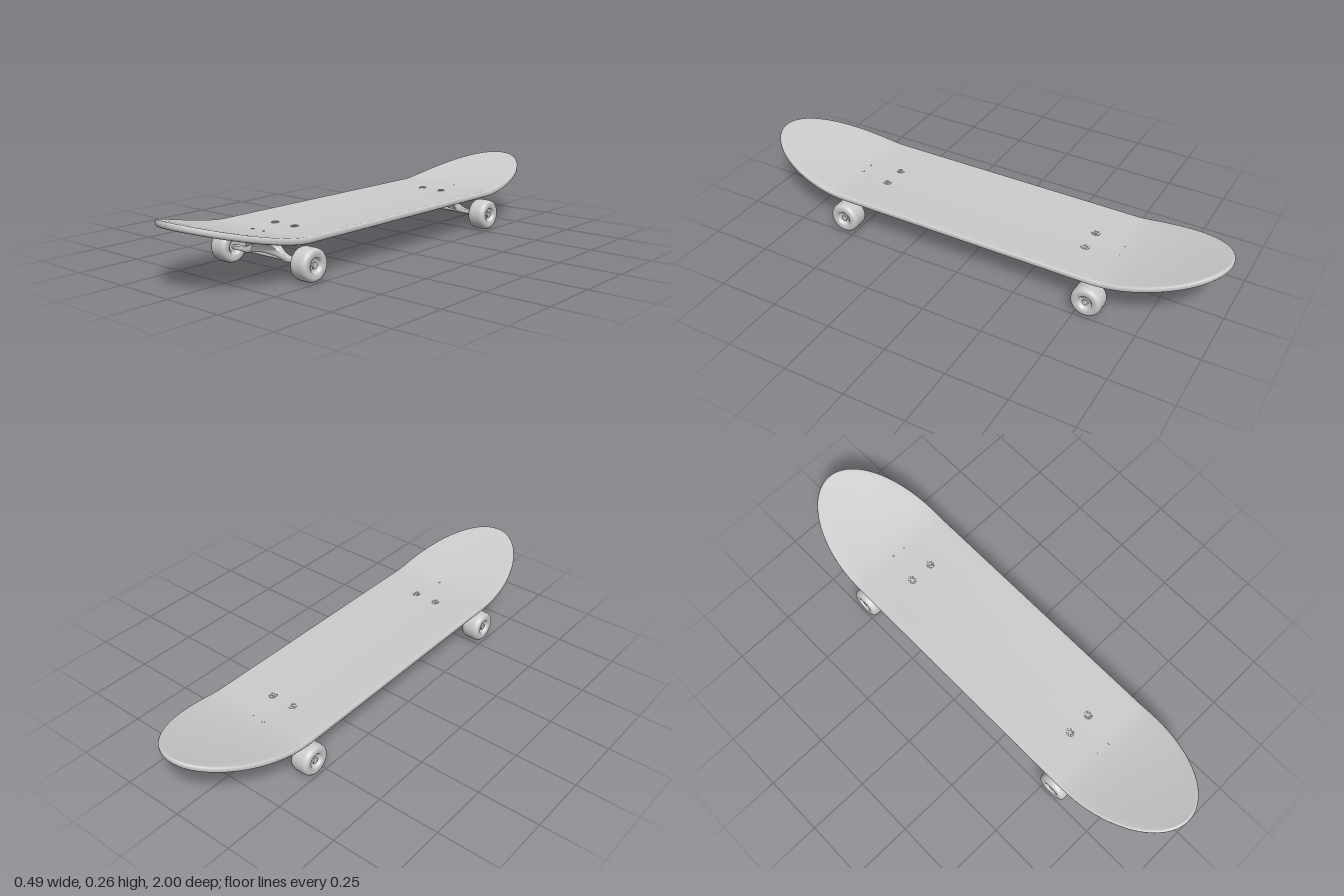
import * as THREE from 'three';
import { toCreasedNormals } from 'three/addons/utils/BufferGeometryUtils.js';

const material = new THREE.MeshStandardMaterial({ color: 0xcccccc });
const HALF_WIDTH = 0.23, THICKNESS = 0.025, AXLE_Y = 0.0625;

function add(parent, name, geometry, x = 0, y = 0, z = 0) {
  const mesh = new THREE.Mesh(geometry, material);
  mesh.name = name;
  mesh.position.set(x, y, z);
  parent.add(mesh);
  return mesh;
}

// Underside height of the deck: flat middle, upswept ends, slight concave
function deckBottom(x, z) {
  const t = Math.max(0, (Math.abs(z) - 0.56) / 0.44);
  return 0.134 + 0.104 * Math.pow(t, 1.4) + 0.007 * (x / HALF_WIDTH) ** 2;
}

function deckGeometry() {
  // Stations along z, packed towards the rounded ends
  const stations = [];
  const N = 26;
  for (let i = 0; i <= N; i++) stations.push(0.6 + 0.4 * Math.sin((i / N) * Math.PI / 2));
  const zs = [...stations.slice().reverse().map((z) => -z), -0.56, -0.3, 0, 0.3, 0.56, ...stations];

  // Cross-section: [side -1..1, inset, height 0..1], counter-clockwise from +z
  const ring = [];
  const edge = [[0.009, 1], [0.003, 0.9], [0, 0.7], [0, 0.3], [0.003, 0.1], [0.009, 0]];
  const M = 12;
  for (let j = 1; j < M; j++) ring.push([1 - 2 * j / M, 0.009, 1]);
  for (const [d, h] of edge) ring.push([-1, d, h]);
  for (let j = 1; j < M; j++) ring.push([-1 + 2 * j / M, 0.009, 0]);
  for (const [d, h] of edge.slice().reverse()) ring.push([1, d, h]);

  const positions = [], index = [], R = ring.length;
  zs.forEach((z0, i) => {
    const e = Math.max(0, (Math.abs(z0) - 0.6) / 0.4);
    const w = HALF_WIDTH * Math.sqrt(Math.max(0, 1 - e * e));
    ring.forEach(([s, inset, h], j) => {
      const x = s * w * (1 - inset / HALF_WIDTH), z = z0 * (1 - inset);
      positions.push(x, deckBottom(x, z) + h * THICKNESS, z);
      if (i < zs.length - 1) {
        const k = (j + 1) % R, a = i * R + j, b = i * R + k;
        index.push(a, b, b + R, a, b + R, a + R);
      }
    });
  });
  const g = new THREE.BufferGeometry();
  g.setAttribute('position', new THREE.Float32BufferAttribute(positions, 3));
  g.setIndex(index);
  g.computeVertexNormals();
  return g;
}

// Wheel with rounded shoulders and a recessed hub, turned about x
function wheelGeometry() {
  const half = [[0.012, 0.022], [0.022, 0.022], [0.026, 0.026], [0.029, 0.035], [0.034, 0.038],
    [0.047, 0.039], [0.054, 0.037], [0.059, 0.032], [0.0615, 0.025], [0.0625, 0.016]];
  const points = [...half.map(([r, y]) => [r, -y]), ...half.slice().reverse()]
    .map(([r, y]) => new THREE.Vector2(r, y));
  return new THREE.LatheGeometry(points, 40).rotateZ(-Math.PI / 2);
}

// Arched hanger: front outline, made deeper as it rises to the deck
function hangerGeometry() {
  const s = new THREE.Shape();
  s.moveTo(0.17, 0.071);
  s.lineTo(0.125, 0.073);
  s.bezierCurveTo(0.1, 0.074, 0.085, 0.085, 0.068, 0.095);
  s.bezierCurveTo(0.05, 0.106, 0.044, 0.12, 0.062, 0.131);
  s.lineTo(0.066, 0.138);
  s.lineTo(-0.066, 0.138);
  s.lineTo(-0.062, 0.131);
  s.bezierCurveTo(-0.044, 0.12, -0.05, 0.106, -0.068, 0.095);
  s.bezierCurveTo(-0.085, 0.085, -0.1, 0.074, -0.125, 0.073);
  s.lineTo(-0.17, 0.071);
  s.lineTo(-0.17, 0.055);
  s.lineTo(-0.1, 0.053);
  s.bezierCurveTo(-0.07, 0.058, -0.07, 0.069, 0, 0.069);
  s.bezierCurveTo(0.07, 0.069, 0.07, 0.058, 0.1, 0.053);
  s.lineTo(0.17, 0.055);
  const g = new THREE.ExtrudeGeometry(s, {
    depth: 0.012, bevelEnabled: true, bevelThickness: 0.007, bevelSize: 0.006,
    bevelOffset: -0.006, bevelSegments: 4, curveSegments: 10,
  });
  g.translate(0, 0, -0.006);
  const p = g.attributes.position;
  for (let i = 0; i < p.count; i++) {
    const t = THREE.MathUtils.clamp((p.getY(i) - 0.08) / 0.056, 0, 1);
    p.setZ(i, p.getZ(i) * (1 + 4.2 * t * t));
  }
  return toCreasedNormals(g, 0.7);
}

function createTruck(name) {
  const truck = new THREE.Group();
  truck.name = name;
  add(truck, 'hanger', hangerGeometry());
  add(truck, 'axle', new THREE.CylinderGeometry(0.008, 0.008, 0.462, 16).rotateZ(Math.PI / 2), 0, AXLE_Y, 0);
  for (const side of [-1, 1]) {
    add(truck, 'wheel', wheelGeometry(), side * 0.207, AXLE_Y, 0);
    add(truck, 'bearing', new THREE.CylinderGeometry(0.02, 0.02, 0.05, 24).rotateZ(Math.PI / 2),
      side * 0.207, AXLE_Y, 0);
    add(truck, 'axleNut', toCreasedNormals(
      new THREE.CylinderGeometry(0.013, 0.013, 0.01, 6).rotateZ(Math.PI / 2), 0.5),
    side * 0.234, AXLE_Y, 0);
  }
  return truck;
}

// Small fastener: rounded rim with a screw head in the middle
function createFastener(name, x, y, z) {
  const group = new THREE.Group();
  group.name = name;
  group.position.set(x, y, z);
  const rim = add(group, 'fastenerRim', new THREE.TorusGeometry(0.011, 0.003, 8, 20).rotateX(Math.PI / 2));
  rim.scale.set(1, 0.8, 1.25);
  add(group, 'screwHead', new THREE.CylinderGeometry(0.005, 0.005, 0.004, 12));
  return group;
}

export function createModel() {
  const model = new THREE.Group();
  model.name = 'skateboard';
  add(model, 'deck', deckGeometry());

  for (const end of [1, -1]) {
    const truck = createTruck(end > 0 ? 'frontTruck' : 'backTruck');
    truck.position.z = end * 0.542;
    if (end < 0) truck.rotation.y = Math.PI;
    model.add(truck);

    const lowerZ = end > 0 ? 0.61 : -0.46;
    for (const side of [-1, 1]) {
      // Fasteners on the deck top
      const z = end * 0.45, top = deckBottom(0.05, z) + THICKNESS;
      model.add(createFastener('topFastener', side * 0.05, top, z));
      const bz = end * 0.585;
      add(model, 'deckBolt', new THREE.CylinderGeometry(0.006, 0.006, 0.003, 12),
        side * 0.028, deckBottom(0.028, bz) + THICKNESS, bz);

      // Fasteners under the deck
      const y = deckBottom(0.095, lowerZ);
      const lower = createFastener('lowerFastener', side * 0.095, y - 0.001, lowerZ);
      lower.scale.set(1.25, 1.6, 1);
      model.add(lower);
      add(model, 'lowerScrew', new THREE.CylinderGeometry(0.005, 0.003, 0.01, 12),
        side * 0.095, y - 0.005, lowerZ);
    }
  }
  return model;
}
